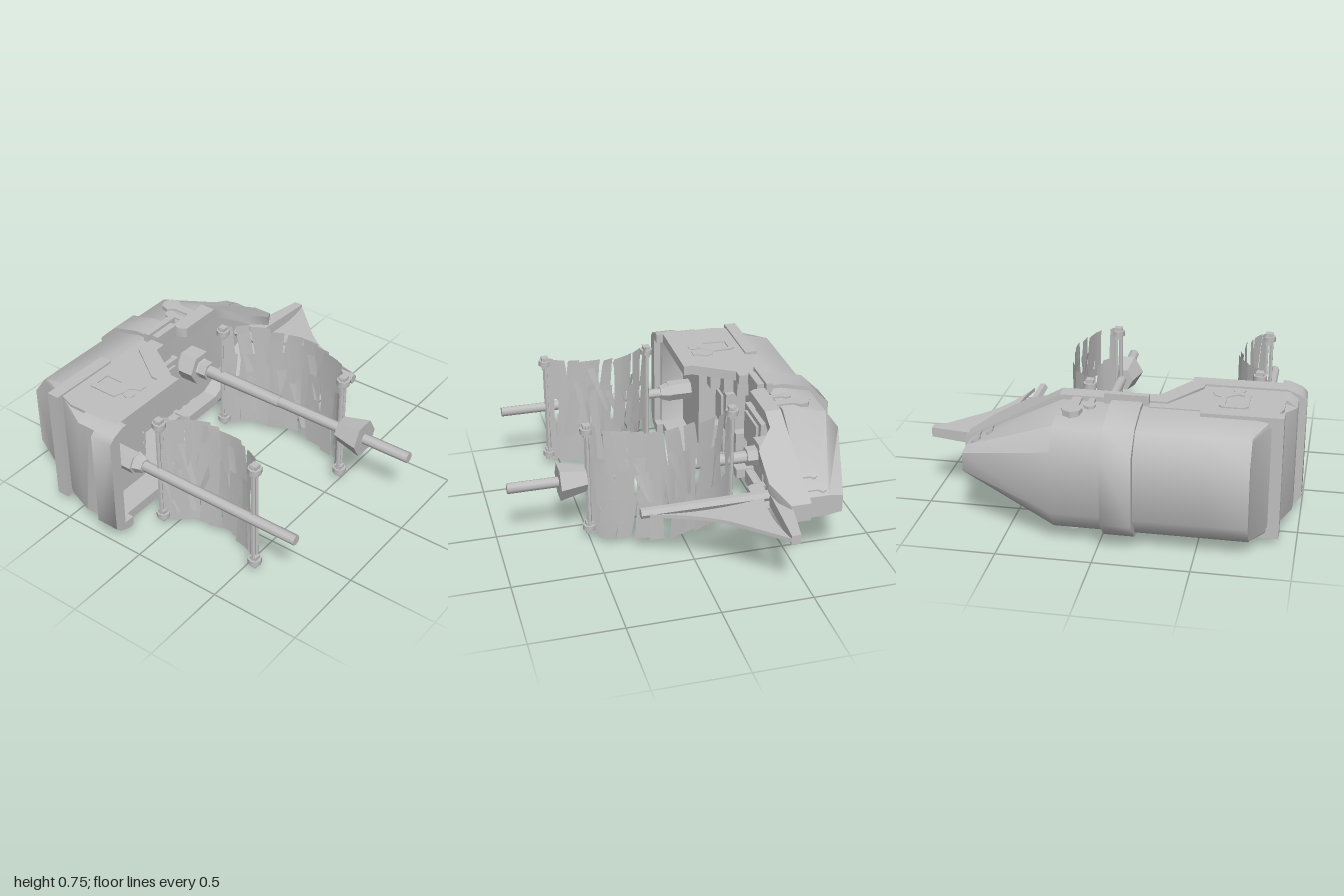
import * as THREE from 'three';
import { toCreasedNormals } from 'three/addons/utils/BufferGeometryUtils.js';

export function createModel() {
  const model = new THREE.Group();
  const ship = new THREE.Group();
  ship.name = 'ship';
  ship.position.y = 0.375; // ship lies on its side: length x, width y, masts along +z
  model.add(ship);
  const grey = new THREE.MeshStandardMaterial({ color: 0xbfbfbf, side: THREE.DoubleSide });
  grey.name = 'light grey';

  function add(name, geo, parent = ship) {
    const m = new THREE.Mesh(toCreasedNormals(geo, 0.82), grey);
    m.name = name;
    parent.add(m);
    return m;
  }
  function box(name, x0, x1, y0, y1, z0, z1) {
    return add(name, new THREE.BoxGeometry(x1 - x0, y1 - y0, z1 - z0)
      .translate((x0 + x1) / 2, (y0 + y1) / 2, (z0 + z1) / 2));
  }
  // Round or polygonal post along z, corners pointing fore and aft
  function post(name, x, z0, z1, r0, r1, sides = 6) {
    return add(name, new THREE.CylinderGeometry(r1, r0, z1 - z0, sides)
      .rotateY(Math.PI / 2).rotateX(Math.PI / 2).translate(x, 0, (z0 + z1) / 2));
  }
  // Symmetric hull loft; section = [x, zTop, half1, z1, half2, z2, half3, zKeel]
  function loft(name, sections) {
    const rings = sections.map(([x, zt, w1, z1, w2, z2, w3, zk]) => {
      const h = [[w1, zt], [w1, z1], [w2, z2], [w3, zk]];
      return [...h, ...h.slice().reverse().map(([y, z]) => [-y, z])].map(([y, z]) => [x, y, z]);
    });
    const p = [], n = 8;
    const tri = (a, b, c) => p.push(...a, ...b, ...c);
    for (let i = 0; i + 1 < rings.length; i++) {
      const a = rings[i], b = rings[i + 1];
      for (let j = 0; j < n; j++) {
        const k = (j + 1) % n;
        tri(a[j], b[j], a[k]);
        tri(b[j], b[k], a[k]);
      }
    }
    const s = rings[0], e = rings[rings.length - 1];
    for (let j = 1; j < n - 1; j++) {
      tri(s[0], s[j], s[j + 1]);
      tri(e[0], e[j + 1], e[j]);
    }
    const g = new THREE.BufferGeometry();
    g.setAttribute('position', new THREE.Float32BufferAttribute(p, 3));
    return add(name, g);
  }
  const toShape = (pts) => new THREE.Shape(pts.map(([x, y]) => new THREE.Vector2(x, y)));
  // Plate drawn in x-z on both sides, bent inward along the bow
  function sidePlates(name, pts, inner, outer, holes = []) {
    const shape = toShape(pts);
    shape.holes.push(...holes.map(toShape));
    for (const s of [1, -1]) {
      const g = new THREE.ExtrudeGeometry(shape, { depth: outer - inner, bevelEnabled: false })
        .rotateX(Math.PI / 2).translate(0, s > 0 ? outer : -inner, 0);
      const q = g.attributes.position;
      for (let i = 0; i < q.count; i++) q.setY(i, q.getY(i) - s * 0.55 * Math.max(0, q.getX(i) - 0.25));
      add((s > 0 ? 'upper ' : 'lower ') + name, g);
    }
  }

  // Hull with raised aft deck and tapered bow
  const mid = [0.32, -0.65, 0.28, -0.82, 0.17, -0.9];
  loft('hull', [
    [-0.96, -0.33, 0.29, -0.39, 0.29, -0.4, 0.28, -0.41],
    [-0.87, -0.33, 0.32, -0.56, 0.32, -0.59, 0.3, -0.6],
    [-0.77, -0.33, 0.32, -0.65, 0.285, -0.8, 0.27, -0.82],
    [-0.77, -0.33, ...mid], [-0.56, -0.33, ...mid],
    [-0.56, -0.57, ...mid], [0.23, -0.57, ...mid],
    [0.73, -0.53, 0.06, -0.6, 0.06, -0.66, 0.05, -0.74],
  ]);
  // Band around the middle and its rim
  const band = [-0.56, 0.342, -0.66, 0.3, -0.83, 0.19, -0.94];
  loft('hull band', [[-0.19, ...band], [-0.03, ...band]]);
  for (const s of [1, -1]) {
    box('band rim', -0.22, 0.01, s * 0.328 - 0.047, s * 0.328 + 0.047, -0.585, -0.55);
    box('band rim cap', -0.19, -0.03, s * 0.32 - 0.038, s * 0.32 + 0.038, -0.56, -0.51);
  }
  // Bulwarks
  sidePlates('aft bulwark', [[-0.9, -0.51], [-0.87, -0.6], [-0.22, -0.6], [-0.22, -0.46],
    [-0.26, -0.46], [-0.4, -0.24], [-0.4, -0.19], [-0.9, -0.19]], 0.28, 0.326);
  sidePlates('aft rail', [[-0.9, -0.28], [-0.47, -0.28], [-0.47, -0.32], [-0.31, -0.55], [-0.2, -0.55],
    [-0.2, -0.46], [-0.26, -0.46], [-0.4, -0.24], [-0.4, -0.19], [-0.9, -0.19]], 0.28, 0.337);
  sidePlates('middle bulwark', [[-0.02, -0.55], [0.25, -0.55], [0.25, -0.46], [0, -0.46], [-0.02, -0.49]], 0.28, 0.337);
  sidePlates('bow bulwark', [[0.25, -0.55], [0.77, -0.55], [0.77, -0.44], [0.64, -0.36], [0.46, -0.36],
    [0.34, -0.46], [0.25, -0.46]], 0.28, 0.337);
  // Stern wall and chamfered stern rail
  function sternPiece(name, half, z0, z1) {
    const pts = half.concat(half.slice().reverse().map(([x, y]) => [x, -y]));
    add(name, new THREE.ExtrudeGeometry(toShape(pts), { depth: z1 - z0, bevelEnabled: false }).translate(0, 0, z0));
  }
  sternPiece('stern rail', [[-0.93, 0.28], [-0.87, 0.28], [-0.87, 0.337], [-0.9, 0.337], [-0.97, 0.31], [-1, 0.28]], -0.28, -0.15);
  sternPiece('stern wall', [[-0.91, 0.28], [-0.88, 0.326], [-0.91, 0.326], [-0.96, 0.29]], -0.4, -0.19);
  // Side strips carried round the stern
  sidePlates('hull strip', [[-0.91, -0.66], [-0.49, -0.66], [-0.49, -0.59], [-0.91, -0.59]], 0.28, 0.337);
  box('stern strip', -0.91, -0.85, -0.3, 0.3, -0.66, -0.59);
  // Keyhole ornaments
  function keyhole(x, zBase, r, height) {
    const pts = [[x + r * 0.45, zBase]];
    for (let i = 0; i < 7; i++) {
      const a = -Math.PI / 3 + (i / 6) * Math.PI * 5 / 3;
      pts.push([x + Math.cos(a) * r, zBase - height + r - Math.sin(a) * r]);
    }
    pts.push([x - r * 0.45, zBase]);
    sidePlates('keyhole ornament', pts, 0.295, 0.331);
  }
  keyhole(0.075, -0.55, 0.033, 0.12);
  keyhole(0.155, -0.55, 0.055, 0.2);
  keyhole(0.615, -0.55, 0.02, 0.08);
  keyhole(0.685, -0.55, 0.028, 0.115);
  keyhole(-0.655, -0.29, 0.033, 0.06);
  keyhole(-0.575, -0.29, 0.055, 0.13);
  sidePlates('panel frame', [[-0.7, -0.55], [-0.59, -0.55], [-0.57, -0.53], [-0.57, -0.41], [-0.64, -0.34],
    [-0.72, -0.37], [-0.72, -0.53]], 0.3, 0.333,
  [[[-0.68, -0.52], [-0.6, -0.52], [-0.6, -0.42], [-0.65, -0.38], [-0.69, -0.39]]]);

  // Deck fittings: hatches and stairs
  box('main hatch', -0.29, 0, -0.115, 0.115, -0.57, -0.53);
  box('main hatch lid', -0.25, -0.04, -0.085, 0.085, -0.53, -0.515);
  box('aft hatch', -0.6, -0.4, -0.12, 0.12, -0.57, -0.45);
  box('aft hatch lid', -0.57, -0.45, -0.09, 0.09, -0.45, -0.435);
  for (const s of [1, -1]) {
    for (let i = 0; i < 3; i++) {
      box('stair step', -0.56, -0.49 + i * 0.07, s * 0.205 - 0.08, s * 0.205 + 0.08, -0.57, -0.38 - i * 0.06);
    }
  }

  // Masts
  post('aft mast base', -0.77, -0.33, -0.19, 0.06, 0.06);
  post('aft mast collar', -0.76, -0.2, -0.14, 0.06, 0.04);
  post('aft mast', -0.76, -0.2, 0.83, 0.03, 0.028, 8);
  post('main mast base', 0.125, -0.57, -0.46, 0.1, 0.1);
  post('main mast cone', 0.125, -0.49, -0.45, 0.075, 0.055);
  post('main mast collar', 0.125, -0.45, -0.4, 0.055, 0.055);
  post('main mast lower', 0.125, -0.42, 0.1, 0.037, 0.033, 8);
  post('main mast', 0.125, 0, 0.94, 0.03, 0.03, 8);
  post('lookout basket', 0.125, 0.51, 0.66, 0.07, 0.105);
  post('fore mast', 0.555, -0.53, 0.31, 0.03, 0.028, 6);

  // Bowsprit, tapered toward the tip
  const sprit = new THREE.BoxGeometry(0.4, 0.07, 0.1).translate(0.8, 0, -0.43);
  const sp = sprit.attributes.position;
  for (let i = 0; i < sp.count; i++) {
    if (sp.getX(i) > 0.9) {
      sp.setY(i, sp.getY(i) * 0.75);
      sp.setZ(i, sp.getZ(i) > -0.43 ? -0.36 : -0.41);
    }
  }
  add('bowsprit', sprit);

  // Jib sail
  const jib = new THREE.Shape();
  jib.moveTo(0.59, -0.35);
  jib.quadraticCurveTo(0.66, -0.02, 0.595, 0.27);
  jib.quadraticCurveTo(0.67, -0.02, 0.81, -0.16);
  jib.lineTo(1, -0.36);
  jib.quadraticCurveTo(0.8, -0.31, 0.59, -0.35);
  add('jib sail', new THREE.ExtrudeGeometry(jib, { depth: 0.022, bevelEnabled: false, curveSegments: 8 })
    .rotateX(Math.PI / 2).translate(0, 0.011, 0));

  // Tattered sails made of ragged strips lying across the ship
  let seed = 7;
  const rnd = () => (seed = (seed * 16807) % 2147483647) / 2147483647;
  const clamp = THREE.MathUtils.clamp;
  function sail(name, pts) {
    const group = new THREE.Group();
    group.name = name;
    ship.add(group);
    const curve = new THREE.CatmullRomCurve3(pts.map(([x, z]) => new THREE.Vector3(x, 0, z)));
    const strip = (y0, y1, u0, u1, w0, w1, off) => {
      const p = [], idx = [], n = 4;
      for (let i = 0; i <= n; i++) {
        const t = i / n, w = (w0 + (w1 - w0) * t) / 2;
        for (const s of [-1, 0, 1]) {
          const u = clamp(u0 + (u1 - u0) * t + s * w, 0, 1);
          const c = curve.getPointAt(u), d = curve.getTangentAt(u);
          const o = off + s * 0.007;
          p.push(c.x + d.z * o, clamp(y0 + (y1 - y0) * t, -0.335, 0.335), c.z - d.x * o);
        }
        for (let k = 0; i && k < 2; k++) {
          const a = 3 * i - 3 + k, b = a + 3;
          idx.push(a, b, a + 1, b, b + 1, a + 1);
        }
      }
      const g = new THREE.BufferGeometry();
      g.setAttribute('position', new THREE.Float32BufferAttribute(p, 3));
      g.setIndex(idx);
      add('sail strip', g, group);
    };
    for (let row = 0; row < 3; row++) {
      for (let i = 0; i < 10; i++) {
        const u = 0.04 + i * 0.102, y = -0.335 + row * 0.223;
        strip(y - rnd() * 0.05, y + 0.223 + rnd() * 0.05, u + (rnd() - 0.5) * 0.07, u + (rnd() - 0.5) * 0.07,
          0.08 + rnd() * 0.05, 0.08 + rnd() * 0.05, (rnd() - 0.5) * 0.024);
      }
    }
    for (let i = 0; i < 16; i++) {
      const u = 0.1 + rnd() * 0.8, y = -0.33 + rnd() * 0.4;
      strip(y, y + 0.28, u, u + (rnd() - 0.5) * 0.3, 0.03, 0.06, (rnd() - 0.5) * 0.03);
    }
    // Yards with end blocks
    for (const [x, z] of [pts[0], pts[pts.length - 1]]) {
      for (const o of [-0.014, 0.014]) {
        add('yard', new THREE.CylinderGeometry(0.012, 0.012, 0.66, 6).translate(x + o, 0, z), group);
      }
      for (const y of [-0.3, 0.3]) {
        add('yard block', new THREE.CylinderGeometry(0.037, 0.037, 0.03, 8).translate(x, y, z), group);
        add('yard cap', new THREE.BoxGeometry(0.04, 0.07, 0.04).translate(x, y, z), group);
      }
    }
  }
  sail('aft sail', [[-0.737, -0.05], [-0.65, 0.08], [-0.612, 0.22], [-0.622, 0.33], [-0.66, 0.45], [-0.737, 0.56]]);
  sail('main sail', [[0.14, -0.31], [0.235, -0.18], [0.285, -0.02], [0.31, 0.1], [0.285, 0.26], [0.225, 0.42], [0.14, 0.5]]);
  return model;
}
